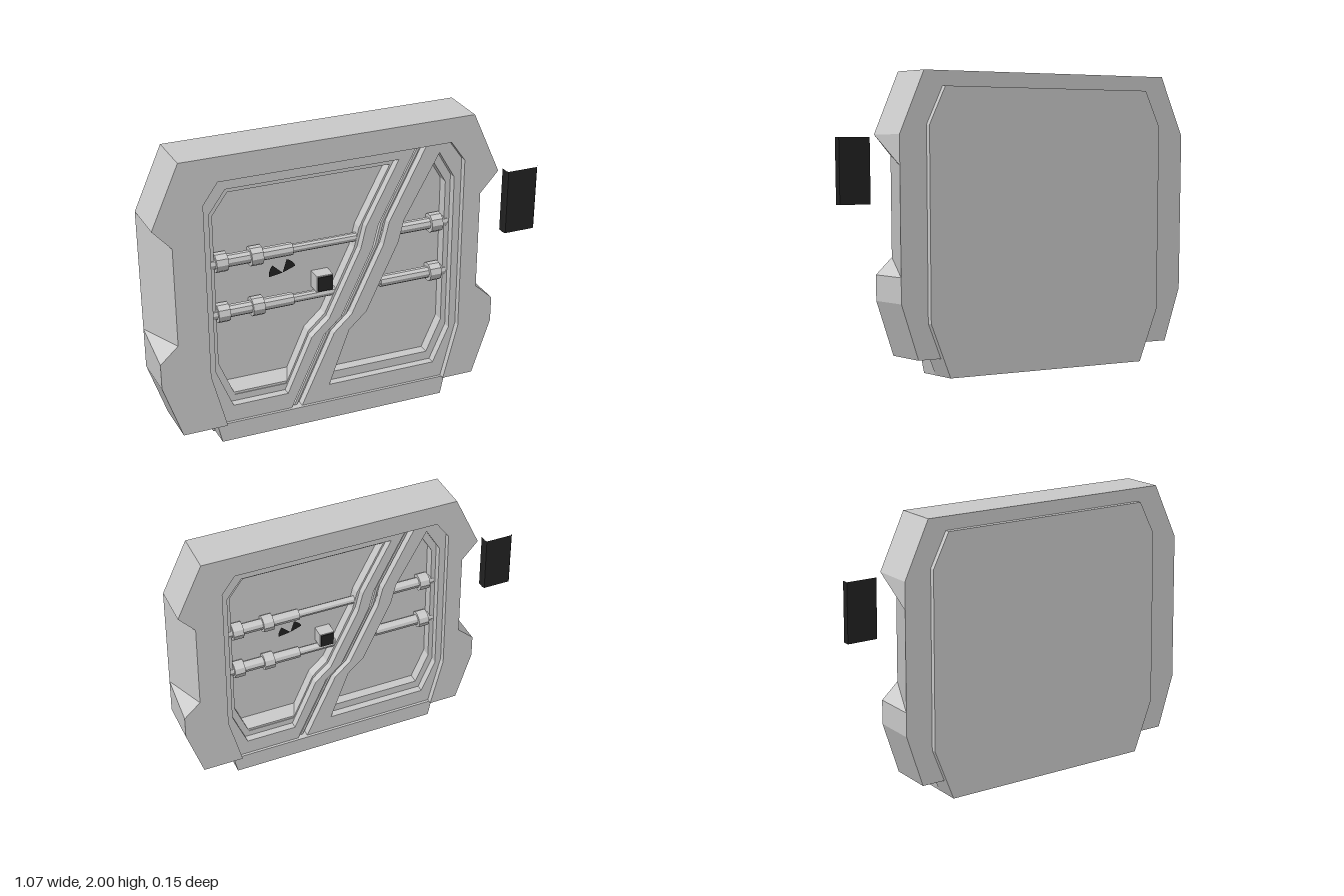
import * as THREE from 'three';

const grey = new THREE.MeshStandardMaterial({ color: 0xcccccc, flatShading: true });
const black = new THREE.MeshStandardMaterial({ color: 0x222222, flatShading: true });

const vecs = (pts) => pts.map(([x, y]) => new THREE.Vector2(x, y));
const shift = (pts, d) => pts.map(([x, y]) => [x + d, y]);

// Solid between two matching counter-clockwise outlines at two depths
function loft(back, zb, front, zf, caps = true) {
  const pos = [];
  const put = (p, z) => pos.push(p[0], p[1], z);
  const n = back.length;
  for (let i = 0; i < n; i++) {
    const j = (i + 1) % n;
    put(back[i], zb); put(back[j], zb); put(front[j], zf);
    put(back[i], zb); put(front[j], zf); put(front[i], zf);
  }
  if (caps) {
    for (const t of THREE.ShapeUtils.triangulateShape(vecs(front), [])) t.forEach((k) => put(front[k], zf));
    for (const t of THREE.ShapeUtils.triangulateShape(vecs(back), [])) t.reverse().forEach((k) => put(back[k], zb));
  }
  const g = new THREE.BufferGeometry();
  g.setAttribute('position', new THREE.Float32BufferAttribute(pos, 3));
  g.computeVertexNormals();
  return g;
}

// Flat plate with holes, between depths z0 and z1
function plate(outline, holes, z0, z1) {
  const s = new THREE.Shape(vecs(outline));
  holes.forEach((h) => s.holes.push(new THREE.Path(vecs(h))));
  return new THREE.ExtrudeGeometry(s, { depth: z1 - z0, bevelEnabled: false }).translate(0, 0, z0);
}

// Outline scaled about the middle of its bounds
function shrink(pts, k) {
  const c = new THREE.Box2().setFromPoints(vecs(pts)).getCenter(new THREE.Vector2());
  return pts.map(([x, y]) => [c.x + (x - c.x) * k, c.y + (y - c.y) * k]);
}

// Closed outline from its right half, mirrored about x = cx
function mirrored(half, cx) {
  const left = half.map(([x, y]) => [cx - x, y]).reverse();
  return [...half.map(([x, y]) => [cx + x, y]), ...left];
}

function createDoor() {
  const door = new THREE.Group();
  const add = (name, geometry, material = grey) => {
    const m = new THREE.Mesh(geometry, material);
    m.name = name;
    door.add(m);
    return m;
  };

  // Opening inside the frame, open at the bottom
  const opening = mirrored([[0.317, 0.053], [0.357, 0.21], [0.357, 0.69], [0.317, 0.745]], -0.0425);

  // Heavy frame, its front side edges cut by sloping grips
  const rim = (depth, top, bottom) => {
    const outer = mirrored([[0.423, 0.053], [0.474, 0.205], [0.474, 0.275], [0.474 - depth, bottom],
      [0.474 - depth, top], [0.474, 0.645], [0.398, 0.81]], -0.06);
    const inner = [...opening].reverse();
    return [...outer, ...inner];
  };
  add('frame', loft(rim(0, 0.565, 0.315), -0.062, rim(0.05, 0.59, 0.32), 0.07));

  // Back panel and the ledge below the frame
  const panel = mirrored([[0.325, 0], [0.385, 0.15], [0.385, 0.67], [0.335, 0.77]], -0.053);
  add('backPanel', loft(panel, -0.077, panel, 0));
  const ledge = [[-0.373, 0], [0.272, 0], [0.283, 0.053], [-0.385, 0.053]];
  add('bottomLedge', loft(ledge, 0, ledge, 0.06));

  // Face plates with two pockets and a zigzag groove between them
  const seam = [[-0.155, 0.053], [-0.06, 0.255], [-0.01, 0.3], [0.08, 0.485], [0.095, 0.545], [0.2, 0.745]];
  const leftPocket = [[-0.335, 0.1], [-0.18, 0.1], ...shift(seam.slice(1, 5), -0.05),
    [0.135, 0.715], [-0.335, 0.715], [-0.38, 0.655], [-0.38, 0.21]];
  const rightPocket = [[-0.06, 0.1], [0.25, 0.1], [0.295, 0.2], [0.295, 0.64], [0.25, 0.715],
    ...shift(seam.slice(1, 5), 0.058).reverse()];
  add('lowerPlate', plate(opening, [shrink(leftPocket, 0.94), shrink(rightPocket, 0.92)], 0, 0.03));
  const leftPlate = [...shift(seam, -0.015), ...opening.slice(4)];
  const rightPlate = [...shift(seam, 0.015).reverse(), ...opening.slice(0, 4)];
  add('leftFacePlate', plate(leftPlate, [leftPocket], 0.03, 0.052));
  add('rightFacePlate', plate(rightPlate, [rightPocket], 0.03, 0.052));
  // Thin rib along the groove
  const rib = [...shift(seam, 0.004), ...shift(seam, -0.004).reverse()];
  add('grooveRib', loft(rib, 0.03, rib, 0.042));

  // Sloping sill at the foot of the left pocket
  add('pocketSill', loft([[-0.34, 0.105], [-0.16, 0.105], [-0.15, 0.15], [-0.34, 0.15]], 0,
    [[-0.34, 0.105], [-0.17, 0.105], [-0.165, 0.125], [-0.34, 0.125]], 0.028));

  // Pipes with sleeves and collars
  const rod = (name, x0, x1, y, r) => add(name,
    new THREE.CylinderGeometry(r, r, x1 - x0, 10).rotateZ(Math.PI / 2).translate((x0 + x1) / 2, y, 0.018));
  for (const y of [0.506, 0.363]) {
    rod('pipe', -0.375, 0.295, y, 0.012);
    rod('pipeSleeve', -0.375, -0.15, y, 0.017);
    rod('pipeSleeve', 0.1, 0.29, y, 0.016);
    for (const x of [-0.345, -0.25, 0.257]) rod('pipeCollar', x - 0.016, x + 0.016, y, 0.026);
  }

  // Dark round vent of two wedges, and a small control box
  for (const a of [0.15, 2.2]) {
    add('ventWedge', new THREE.CircleGeometry(0.038, 8, a + 0.2, 0.9).translate(-0.17, 0.435, 0.004), black);
  }
  add('controlBox', new THREE.BoxGeometry(0.046, 0.046, 0.04).translate(-0.066, 0.4, 0.02));
  add('controlScreen', new THREE.BoxGeometry(0.04, 0.04, 0.004).translate(-0.066, 0.4, 0.041), black);

  // Open-ended side tab
  const tab = [[0.443, -0.075], [0.527, -0.075], [0.532, -0.068], [0.532, -0.047], [0.44, -0.047], [0.44, -0.068]];
  add('sideTab', loft(tab, 0, tab, 0.175, false).rotateX(-Math.PI / 2).translate(0, 0.463, 0), black);
  return door;
}

export function createModel() {
  const model = new THREE.Group();
  model.name = 'doorPair';
  ['lowerDoor', 'upperDoor'].forEach((name, i) => {
    const door = createDoor();
    door.name = name;
    door.position.y = i * 1.19;
    model.add(door);
  });
  return model;
}
